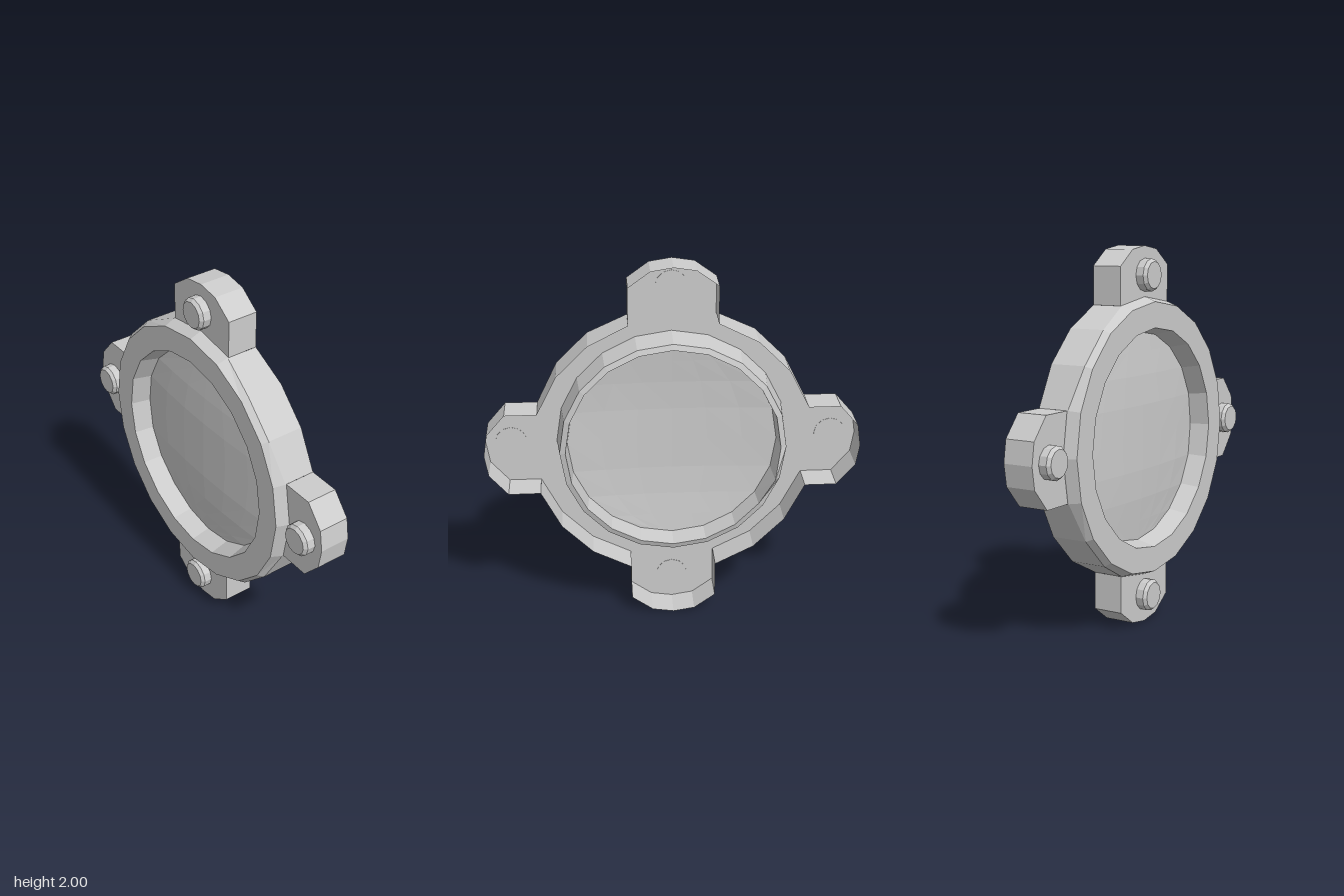
import * as THREE from 'three';

const mat = new THREE.MeshStandardMaterial({ color: 0xcccccc, flatShading: true, side: THREE.DoubleSide });
const SIDES = 20, STEP = Math.PI * 2 / SIDES;
const BACK = -0.1, PLATE = 0.065, FRONT = 0.13, R = 0.738;

function add(parent, name, geo) {
  const mesh = new THREE.Mesh(geo, mat);
  mesh.name = name;
  parent.add(mesh);
  return mesh;
}

// Open sheet of nu x nv quads; fn(i, j) gives each corner as [x, y, z]
function sheet(nu, nv, fn) {
  const pos = [], idx = [];
  for (let j = 0; j <= nv; j++) for (let i = 0; i <= nu; i++) pos.push(...fn(i, j));
  for (let j = 0; j < nv; j++) for (let i = 0; i < nu; i++) {
    const a = j * (nu + 1) + i, b = a + 1, c = a + nu + 1, d = c + 1;
    idx.push(a, b, d, a, d, c);
  }
  const geo = new THREE.BufferGeometry();
  geo.setAttribute('position', new THREE.Float32BufferAttribute(pos, 3));
  geo.setIndex(idx);
  geo.computeVertexNormals();
  return geo;
}

// Lathe turned so that its axis runs along z; profile is [radius, z]
function turned(profile, sides) {
  return new THREE.LatheGeometry(profile.map(p => new THREE.Vector2(...p)), sides).rotateX(Math.PI / 2);
}

// The chamfer starts further forward between the lugs
const edgeZ = i => (i % 5 === 2 || i % 5 === 3 ? 0.097 : 0.07);

function makeRing() {
  const profile = [
    [0.61, PLATE], [R, PLATE], [R, 0.07], [0.715, FRONT], [0.58, FRONT],
    [0.555, 0.02], [0.565, BACK], [0.595, -0.09], [0.61, PLATE],
  ];
  const geo = turned(profile, SIDES);
  const pos = geo.attributes.position, n = profile.length;
  for (let i = 0; i <= SIDES; i++) pos.setZ(i * n + 2, edgeZ(i));
  // One bent corner on the rear lip
  pos.setZ(16 * n + 6, -0.135);
  return geo;
}

// Slightly domed pane in horizontal bands
function makePane() {
  const r = 0.56;
  return sheet(6, 10, (i, j) => {
    const a = (j - 5) * STEP;
    const y = r * Math.sin(a), x = r * Math.cos(a) * (i / 3 - 1);
    const bend = Math.max(0, Math.abs(y) - 0.25) * 0.1;
    return [x, y, 0.055 - bend - 0.1 * x * x];
  });
}

// Mounting lug, hollow at the back, pointing up; reach is its outer end
function makeLug(reach, shoulder) {
  const lug = new THREE.Group();
  const outline = [
    [-0.228, 0.702], [-0.228, shoulder], [-0.115, reach - 0.018], [0, reach],
    [0.115, reach - 0.018], [0.228, shoulder], [0.228, 0.702],
  ];
  const shape = new THREE.Shape(outline.map(p => new THREE.Vector2(...p)));
  add(lug, 'lugFace', new THREE.ShapeGeometry(shape).translate(0, 0, PLATE));
  add(lug, 'lugWall', sheet(6, 1, (i, j) => [...outline[i], j ? BACK : PLATE]));
  const bolt = turned([[0, PLATE - 0.002], [0.085, PLATE - 0.002], [0.085, 0.108], [0.07, 0.125], [0, 0.125]], 12);
  add(lug, 'bolt', bolt).position.y = 0.85;
  return lug;
}

export function createModel() {
  const model = new THREE.Group();
  model.name = 'porthole';
  const body = new THREE.Group();
  body.name = 'body';
  body.position.y = 1;
  model.add(body);

  add(body, 'ring', makeRing());
  add(body, 'pane', makePane());

  for (let q = 0; q < 4; q++) {
    // Lugs at top, left, bottom and right
    const lug = q % 2 ? makeLug(0.985, 0.87) : makeLug(1, 0.9);
    lug.name = 'lug';
    lug.rotation.z = -q * Math.PI / 2;
    body.add(lug);

    // Outer wall between neighbouring lugs
    const wall = sheet(3, 1, (i, j) => {
      const a = (q * 5 + 1 + i) * STEP;
      return [R * Math.sin(a), R * Math.cos(a), j ? BACK : PLATE];
    });
    add(body, 'outerWall', wall);
  }
  return model;
}
